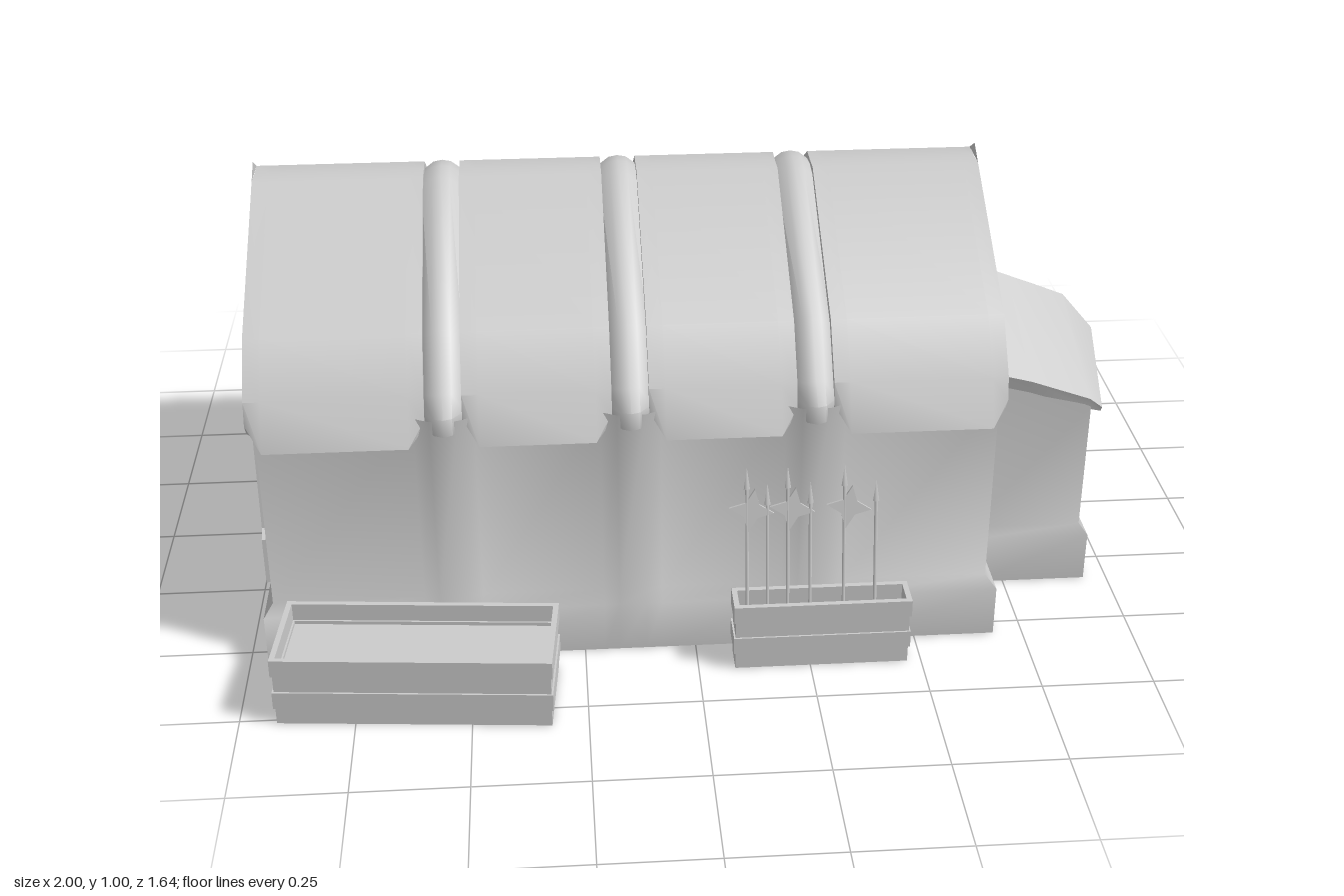
import * as THREE from 'three';
import { toCreasedNormals } from 'three/addons/utils/BufferGeometryUtils.js';

const MID = 0.02; // z of the building's ridge
const RIBS = [-0.54, -0.14, 0.26];
const mat = new THREE.MeshStandardMaterial({ color: 0xcccccc, side: THREE.DoubleSide });
const oneSided = new THREE.MeshStandardMaterial({ color: 0xcccccc });

function add(parent, geo, name, x = 0, y = 0, z = 0) {
  const m = new THREE.Mesh(geo, mat);
  m.name = name;
  m.position.set(x, y, z);
  parent.add(m);
  return m;
}

const shape = pts => new THREE.Shape(pts.map(p => new THREE.Vector2(...p)));

// Skin closed rings of [x, y, z]; caps bridge the first half of a ring to its second half
function loft(rings, capped, crease) {
  const pos = [], n = rings[0].length;
  const quad = (a, b, c, d) => pos.push(...a, ...b, ...c, ...a, ...c, ...d);
  for (let k = 0; k < rings.length - 1; k++)
    for (let i = 0; i < n; i++) {
      const j = (i + 1) % n;
      quad(rings[k][i], rings[k][j], rings[k + 1][j], rings[k + 1][i]);
    }
  if (capped) {
    const s = rings[0], e = rings[rings.length - 1];
    for (let i = 0; i < n / 2 - 1; i++) {
      quad(s[i], s[n - 1 - i], s[n - 2 - i], s[i + 1]);
      quad(e[i], e[i + 1], e[n - 2 - i], e[n - 1 - i]);
    }
  }
  const g = new THREE.BufferGeometry();
  g.setAttribute('position', new THREE.Float32BufferAttribute(pos, 3));
  return toCreasedNormals(g, crease);
}

// One shell around hall and porch: half footprint [x, z, top, plinth offset in x], mirrored
function wallShell() {
  const half = [[-0.94, 0, 0.6, -0.02], [-0.94, 0.5, 0.6, -0.02]];
  for (const r of RIBS)
    for (const [dx, z] of [[-0.065, 0.498], [-0.03, 0.515], [0.03, 0.515], [0.065, 0.498]]) half.push([r + dx, z, 0.6, 0]);
  half.push([0.66, 0.5, 0.6, 0.023], [0.66, 0.303, 0.58, 0.023], [0.925, 0.303, 0.46, 0.02], [0.925, 0, 0.54, 0.02]);
  const ring = (y, out) => {
    const side = s => half.map(([x, z, top, ox]) =>
      [x + ox * out, y ?? top, MID + s * (z && (z > 0.4 ? THREE.MathUtils.lerp(z, 0.524, out) : z + 0.014 * out))]);
    return [...side(1), ...side(-1).slice(1, -1).reverse()];
  };
  return loft([ring(0, 1), ring(0.12, 1), ring(0.145, 0), ring(null, 0)], false, 1);
}

// Mirror a half profile [z, y], listed from ridge to eave, into one running from -z to +z
const mirror = half => [...half.map(([z, y]) => [-z, y]).reverse(), ...half.filter(p => p[0] > 0)];

// Closed roof ring out of an outer and an inner half profile
const roofRing = (x, outer, inner) =>
  [...mirror(outer), ...mirror(inner).reverse()].map(([z, y]) => [x, y, MID + z]);

function beam(parent, a, b, r, name) {
  const p = new THREE.Vector3(...a), q = new THREE.Vector3(...b), d = q.clone().sub(p);
  const m = add(parent, new THREE.CylinderGeometry(r, r, d.length(), 6), name);
  m.position.copy(p).add(q).multiplyScalar(0.5);
  m.quaternion.setFromUnitVectors(new THREE.Vector3(0, 1, 0), d.normalize());
}

function roofPanel(x0, x1) {
  const ring = (x, eave, lip) => roofRing(x,
    [[0, 0.964], [0.048, 0.966], [0.4, 0.755], [0.485, 0.645], eave],
    [[0, 0.89], [0.05, 0.862], [0.38, 0.668], [0.44, 0.615], lip]);
  const end = [[0.497, 0.595], [0.482, 0.57]], mid = [[0.53, 0.543], [0.5, 0.548]];
  return loft([ring(x0, ...end), ring(x0 + 0.035, ...mid), ring(x1 - 0.035, ...mid), ring(x1, ...end)], true, 0.6);
}

// Rounded arch beam lying in the gap between two roof panels
function roofRib(x) {
  const ring = (dx, lift) => roofRing(x + dx,
    [[0, 0.957 + lift], [0.05, 0.95 + lift], [0.39 + lift * 0.5, 0.742 + lift], [0.47 + lift, 0.64 + lift * 0.5],
      [0.497 + lift * 1.6, 0.608], [0.497 + lift * 1.6, 0.575 - lift * 0.5]],
    [[0, 0.88], [0.05, 0.852], [0.37, 0.665], [0.44, 0.6], [0.47, 0.58], [0.48, 0.575]]);
  return loft([[-0.045, -0.006], [-0.02, 0.014], [0, 0.018], [0.02, 0.014], [0.045, -0.006]]
    .map(p => ring(...p)), true, 0.9);
}

// Open box of stacked boards that bulge in turn, with a filled inside
function crate(name, length, width, height) {
  const g = new THREE.Group(), rows = 4, h = height / rows, t = 0.012;
  g.name = name;
  for (let i = 0; i < rows; i++)
    for (const s of [-1, 1]) {
      const inset = (i % 2) ? 0 : 0.004, y = h * (i + 0.5);
      add(g, new THREE.BoxGeometry(length - 2 * inset, h, t), 'longBoard', 0, y, s * (width / 2 - t / 2 - inset));
      add(g, new THREE.BoxGeometry(t, h, width - 2 * t), 'shortBoard', s * (length / 2 - t / 2 - inset), y, 0);
    }
  const fill = add(g, new THREE.PlaneGeometry(length - t, width - t).rotateX(-Math.PI / 2), 'crateFilling', 0, height * 0.7, 0);
  fill.material = oneSided;
  return g;
}

// Thin weapon standing in the rack, some with a four-pointed head
function spear(height, starred) {
  const g = new THREE.Group();
  g.name = 'spear';
  add(g, new THREE.CylinderGeometry(0.004, 0.004, height - 0.04, 6), 'shaft', 0, (height - 0.04) / 2, 0);
  add(g, new THREE.ConeGeometry(0.007, 0.05, 4), 'tip', 0, height - 0.025, 0);
  if (starred) {
    const star = Array.from({ length: 8 }, (_, i) => {
      const a = i * Math.PI / 4 - 0.15, r = i % 2 ? 0.022 : 0.05;
      return [Math.cos(a) * r + 0.01, Math.sin(a) * r];
    });
    add(g, new THREE.ExtrudeGeometry(shape(star), { depth: 0.006, bevelEnabled: false }), 'blade', 0, height - 0.1, -0.003);
  }
  return g;
}

// Practice dummy on a braced cross foot
function dummy() {
  const g = new THREE.Group();
  g.name = 'trainingDummy';
  add(g, new THREE.BoxGeometry(0.22, 0.024, 0.02), 'footBeam', 0, 0.012, 0);
  add(g, new THREE.BoxGeometry(0.02, 0.024, 0.21), 'footBeam', 0, 0.012, 0);
  for (let i = 0; i < 4; i++) {
    const at = (k, r, y) => [Math.cos(k * Math.PI / 2) * r, y, Math.sin(k * Math.PI / 2) * r];
    beam(g, at(i, 0.085, 0.015), at(i, 0.01, 0.115), 0.008, 'brace');
    beam(g, at(i, 0.085, 0.014), at(i + 1, 0.085, 0.014), 0.007, 'footTie');
  }
  add(g, new THREE.CylinderGeometry(0.01, 0.01, 0.39, 8), 'post', 0, 0.195, 0);
  beam(g, [-0.118, 0.355, 0], [0.118, 0.355, 0], 0.009, 'crossbar');
  const head = [[0, 0.365], [0.022, 0.37], [0.029, 0.398], [0.031, 0.4], [0.035, 0.44], [0.03, 0.449], [0, 0.449]];
  add(g, toCreasedNormals(new THREE.LatheGeometry(head.map(p => new THREE.Vector2(...p)), 10), 0.7), 'head');
  return g;
}

export function createModel() {
  const model = new THREE.Group();
  model.name = 'longhouse';

  // Walls with a flared plinth and pilasters, open into the porch, and the two gables
  add(model, wallShell(), 'walls');
  const gable = [[-0.5, 0.6], [-0.39, 0.67], [0, 0.89], [0.39, 0.67], [0.5, 0.6]];
  const gableWall = pts => new THREE.ShapeGeometry(shape(pts)).rotateY(Math.PI / 2);
  add(model, gableWall(gable), 'backGable', -0.94, 0, MID);
  add(model, gableWall([...gable, [0.303, 0.58], [0, 0.68], [-0.303, 0.58]]), 'porchGable', 0.66, 0, MID);

  // Roof: four sheets, three ribs and the gable tips
  [[-0.96, -0.58], [-0.5, -0.18], [-0.1, 0.22], [0.3, 0.68]].forEach(([a, b]) => add(model, roofPanel(a, b), 'roofPanel'));
  for (const x of RIBS) add(model, roofRib(x), 'roofRib');
  for (const x of [-0.96, 0.68])
    add(model, gableWall([[-0.048, 0.966], [0.048, 0.966], [0, 0.995]]), 'gableTip', x, 0, MID);

  // Porch roof with a drooping hipped front
  const porchRing = (xPeak, xEave, peak, eave, half, t) =>
    roofRing(0, [[0, peak], [half, eave]], [[0, peak - t], [half - 0.008, eave - t]])
      .map(([, y, z]) => [Math.abs(z - MID) < 0.01 ? xPeak : xEave, y, z]);
  add(model, loft([
    porchRing(0.64, 0.64, 0.71, 0.572, 0.312, 0.032), porchRing(0.78, 0.78, 0.656, 0.535, 0.312, 0.032),
    porchRing(0.92, 0.92, 0.6, 0.483, 0.308, 0.03), porchRing(0.998, 0.955, 0.508, 0.45, 0.29, 0.014)], true, 0.6), 'porchRoof');

  // Back door frame with leaning posts and a peaked head
  const frame = shape([[-0.2, 0], [-0.2, 0.12], [-0.18, 0.14], [-0.165, 0.54], [0, 0.62],
    [0.165, 0.54], [0.18, 0.14], [0.2, 0.12], [0.2, 0], [0.125, 0], [0.095, 0.49], [0, 0.54],
    [-0.095, 0.49], [-0.125, 0]]);
  add(model, new THREE.ExtrudeGeometry(frame, { depth: 0.06, bevelEnabled: false }).rotateY(Math.PI / 2), 'doorFrame', -1, 0, MID);

  // Trough and weapon rack along the front wall
  const trough = crate('trough', 0.6, 0.222, 0.165);
  trough.position.set(-0.615, 0, 0.68);
  trough.rotation.y = -0.084;
  const rack = crate('weaponRack', 0.395, 0.08, 0.163);
  rack.position.set(0.275, 0, 0.6);
  model.add(trough, rack);
  [0.11, 0.155, 0.2, 0.25, 0.325, 0.395].forEach((x, i) => {
    const s = spear(i % 2 ? 0.43 : 0.468, i % 2 === 0);
    s.position.set(x, 0, 0.622);
    s.rotation.x = -0.18;
    model.add(s);
  });

  // Practice dummies behind the hall
  [[-0.435, 0], [-0.032, 0.3], [0.358, -0.3]].forEach(([x, turn]) => {
    const d = dummy();
    d.position.set(x, 0, -0.715);
    d.rotation.y = turn;
    model.add(d);
  });
  return model;
}
